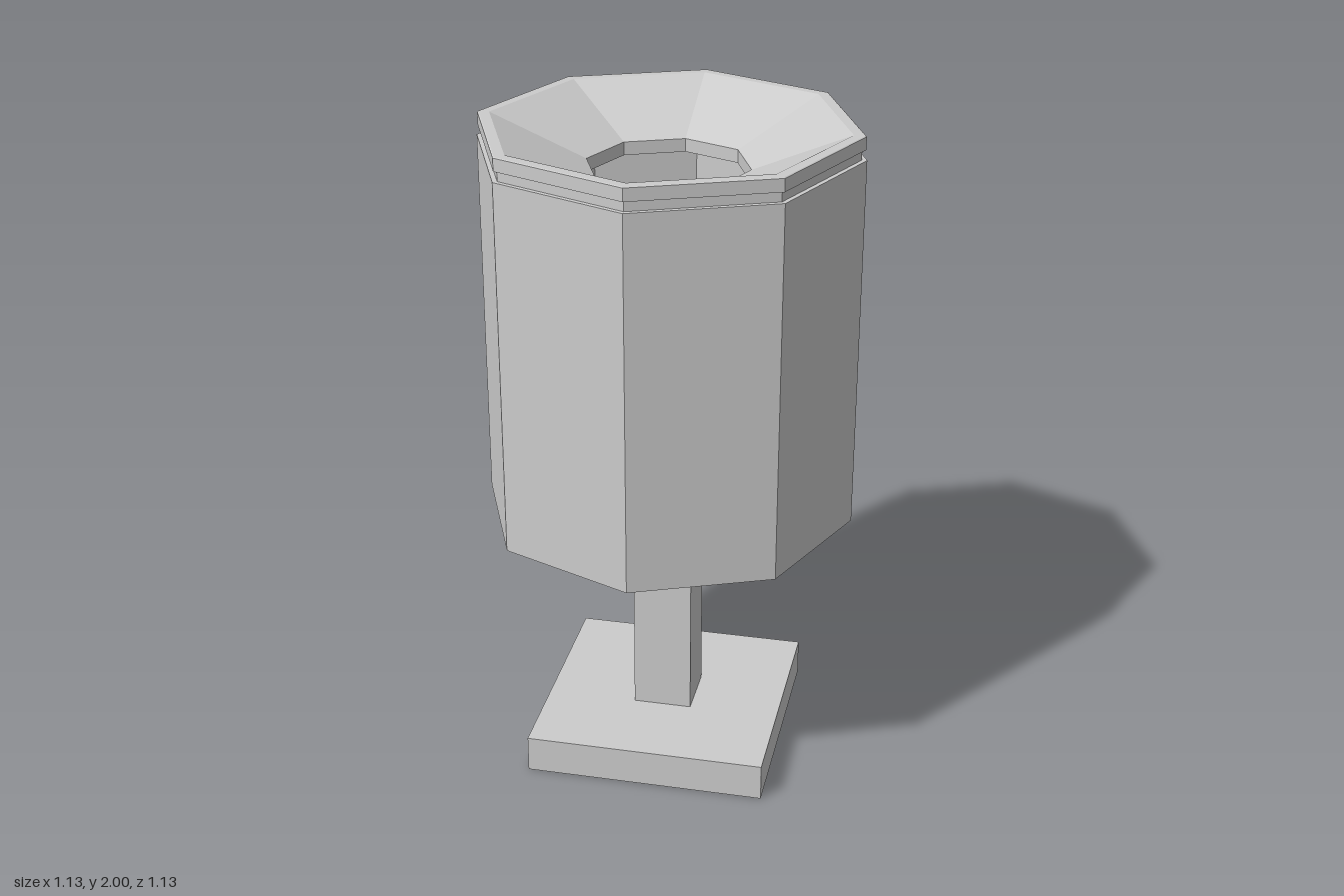
import * as THREE from 'three';

const material = new THREE.MeshStandardMaterial({
  color: 0xcccccc, flatShading: true, side: THREE.DoubleSide,
});

// Faceted solid from a profile of [radius, y] points
function faceted(name, sides, profile, start = 0) {
  const points = profile.map(([r, y]) => new THREE.Vector2(r, y));
  const mesh = new THREE.Mesh(new THREE.LatheGeometry(points, sides, start), material);
  mesh.name = name;
  return mesh;
}

// Square part from a profile of [half width, y] points
function square(name, profile) {
  return faceted(name, 4, profile.map(([h, y]) => [h * Math.SQRT2, y]), Math.PI / 4);
}

export function createModel() {
  const model = new THREE.Group();
  model.name = 'pedestalBin';

  // Base plate, open underneath, with a hole into the hollow post
  model.add(square('base', [[0.367, 0], [0.367, 0.115], [0.09, 0.115]]));
  model.add(square('post', [[0.09, 0.115], [0.09, 1.07]]));

  // Thin outer shell, open at the bottom
  model.add(faceted('shell', 8, [
    [0.55, 1.93], [0.553, 0.795], [0.565, 0.795], [0.565, 1.93], [0.55, 1.93],
  ]));

  // Inner bucket carried by the post
  model.add(faceted('bucket', 8, [[0, 1.07], [0.41, 1.07], [0.41, 1.86]]));

  // Lid: recessed neck, rim, funnel and short lip around the opening
  model.add(faceted('lid', 8, [
    [0.55, 1.93], [0.55, 1.957], [0.561, 1.96], [0.561, 1.998], [0.557, 2],
    [0.525, 2], [0.24, 1.88], [0.24, 1.84],
  ]));

  return model;
}
